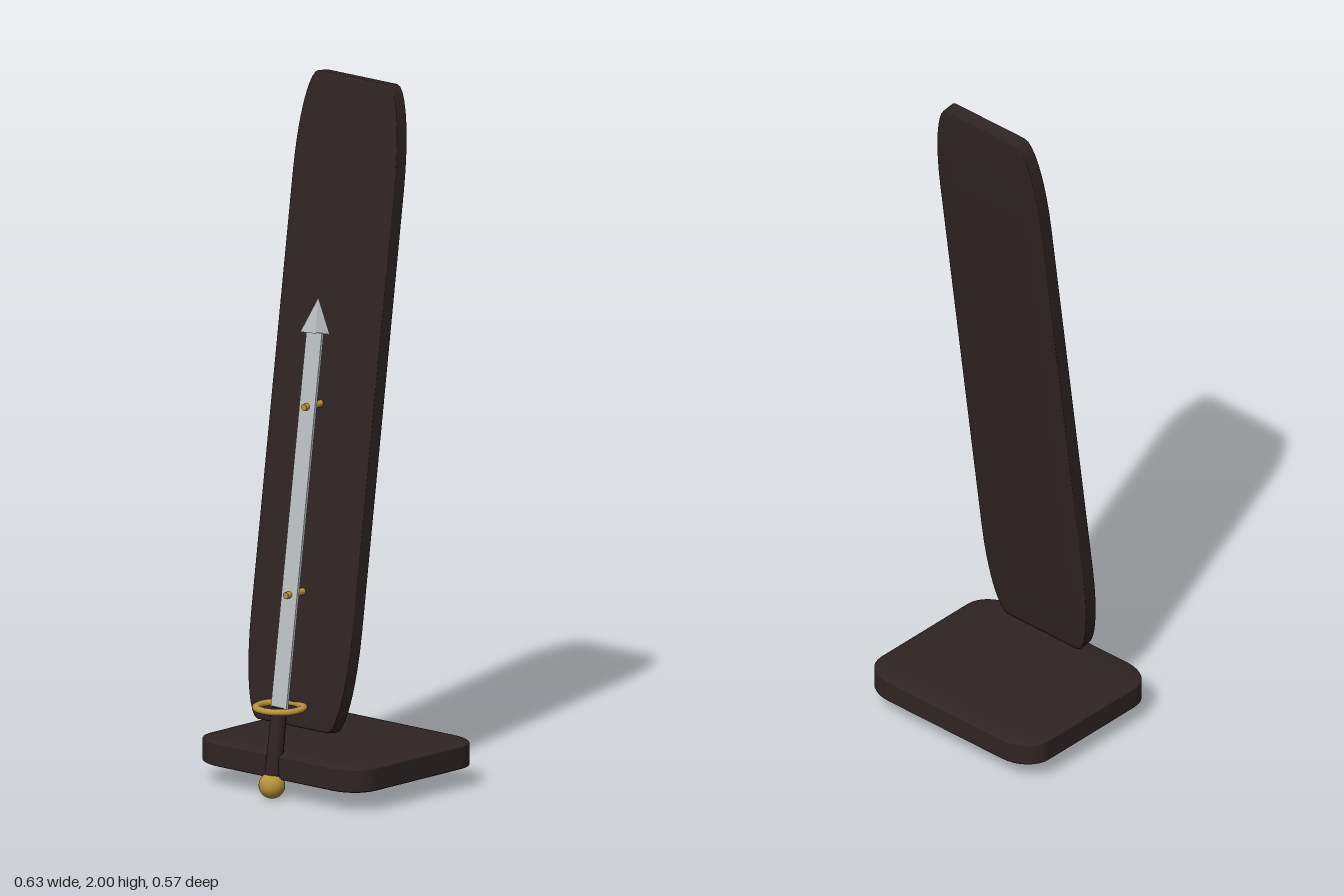
import * as THREE from 'three';
import { RoundedBoxGeometry } from 'three/addons/geometries/RoundedBoxGeometry.js';

const TILT = -0.139; // lean of the board and sword

function material(name, color, flatShading = false) {
  const m = new THREE.MeshStandardMaterial({ color, flatShading });
  m.name = name;
  return m;
}

export function createModel() {
  const group = new THREE.Group();
  const wood = material('dark wood', 0x302424);
  const gold = material('gold', 0xb8923c);
  const steel = material('steel', 0xbcc0c3, true);

  function add(name, geometry, mat, x, y, z, tilt = 0) {
    const mesh = new THREE.Mesh(geometry, mat);
    mesh.name = name;
    mesh.position.set(x, y, z);
    mesh.rotation.x = tilt;
    group.add(mesh);
    return mesh;
  }

  // Rounded unit block stretched to size, so its corners stretch with it
  const slab = (w, h, d) => new RoundedBoxGeometry(1, 1, 1, 5, 0.16).scale(w, h, d);

  // Depth of the sword's axis at a given height
  const swordZ = (y) => 0.061 + (1.3 - y) * 0.14;

  // Stand
  add('base', slab(0.63, 0.085, 0.522), wood, 0, 0.089, -0.025);
  add('backBoard', slab(0.382, 1.825, 0.056), wood, 0, 1.0925, 0.01, TILT);

  // Pegs holding the blade off the board
  for (const [y, z] of [[0.568, 0.145], [1.092, 0.07]]) {
    const peg = new THREE.CylinderGeometry(0.01, 0.01, 0.075, 12).rotateX(Math.PI / 2);
    add('peg', peg, gold, 0, y, z);
  }

  // Blade and its flattened four-sided point, turned on the diagonal
  add('blade', new THREE.BoxGeometry(0.058, 1.06, 0.008), steel, 0, 0.775, swordZ(0.775), TILT);
  const point = new THREE.ConeGeometry(0.041, 0.1, 4).scale(1, 1, 0.25).rotateY(Math.PI / 4);
  add('bladePoint', point, steel, 0, 1.346, swordZ(1.346), TILT);

  // Ring guard, grip and pommel
  const ring = new THREE.TorusGeometry(0.065, 0.0125, 10, 40).rotateX(Math.PI / 2).scale(1, 0.75, 1);
  add('guard', ring, gold, 0, 0.254, 0.207);
  add('grip', new THREE.CylinderGeometry(0.022, 0.024, 0.21, 16), wood, 0, 0.15, swordZ(0.15), TILT);
  add('pommel', new THREE.SphereGeometry(0.037, 24, 16), gold, 0, 0.037, 0.239);

  return group;
}
